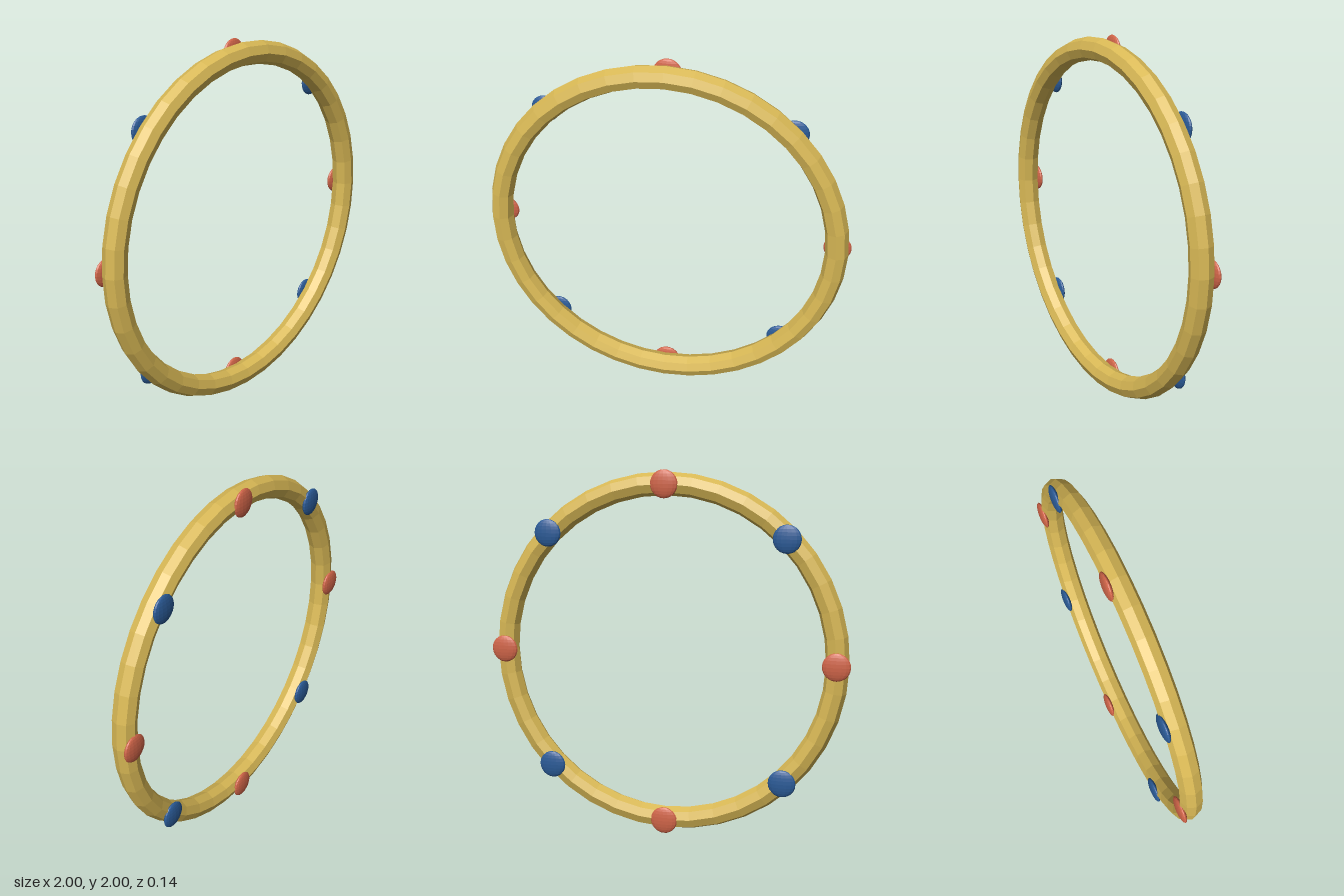
import * as THREE from 'three';

export function createModel() {
  const model = new THREE.Group();
  const gold = new THREE.MeshStandardMaterial({ color: 0xd8b855, flatShading: true });
  gold.name = 'gold';
  const red = new THREE.MeshStandardMaterial({ color: 0xcf6448, flatShading: true });
  red.name = 'coral red';
  const blue = new THREE.MeshStandardMaterial({ color: 0x2a5a96, flatShading: true });
  blue.name = 'deep blue';

  const ringRadius = 0.925;

  // Faceted ring with an octagonal section
  const ring = new THREE.Mesh(new THREE.TorusGeometry(ringRadius, 0.062, 8, 40), gold);
  ring.name = 'ring';
  ring.position.set(0, 1, 0.008);
  model.add(ring);

  // Eight flattened studs on the back, alternating in colour
  const studGeometry = new THREE.SphereGeometry(0.075, 16, 12).scale(1, 1, 0.27);
  for (let i = 0; i < 8; i++) {
    const a = (i * Math.PI) / 4;
    const stud = new THREE.Mesh(studGeometry, i % 2 ? blue : red);
    stud.name = i % 2 ? 'blueStud' : 'redStud';
    stud.position.set(ringRadius * Math.cos(a), 1 + ringRadius * Math.sin(a), -0.05);
    model.add(stud);
  }
  return model;
}
